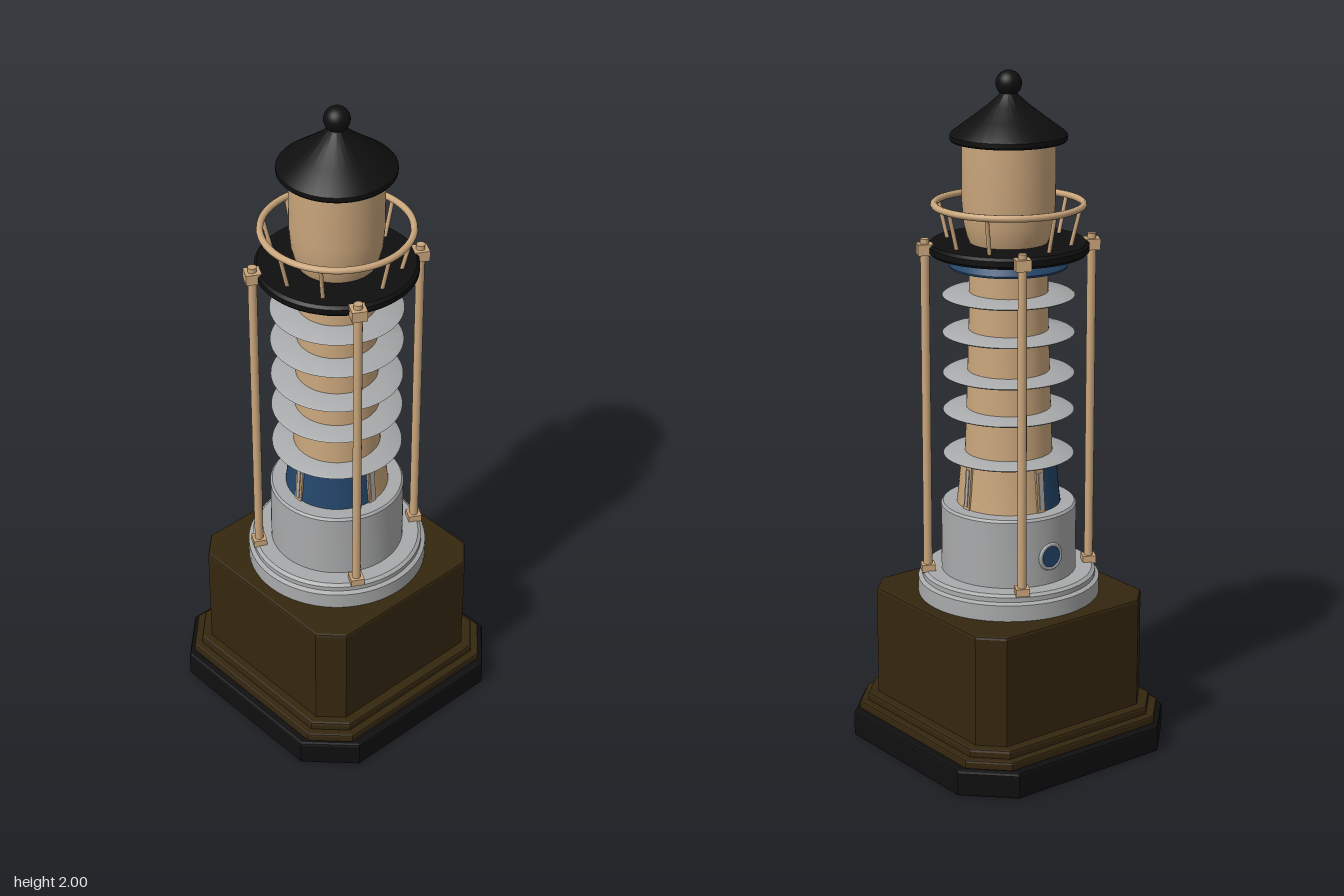
import * as THREE from 'three';
import { toCreasedNormals } from 'three/addons/utils/BufferGeometryUtils.js';

const paint = (name, color) => {
  const m = new THREE.MeshStandardMaterial({ color });
  m.name = name;
  return m;
};

export function createModel() {
  const model = new THREE.Group();
  model.name = 'lighthouse';
  const tan = paint('tan', 0xcaa67c);
  const silver = paint('silver', 0xa9aaab);
  const brown = paint('dark brown', 0x35270f);
  const black = paint('black', 0x0f0f0f);
  const blue = paint('blue', 0x24466b);

  const add = (name, geometry, material, parent = model) => {
    const mesh = new THREE.Mesh(geometry, material);
    mesh.name = name;
    parent.add(mesh);
    return mesh;
  };

  // Turned part from [radius, height] pairs, listed bottom to top
  const turned = (name, profile, material, start = 0, sweep = Math.PI * 2) => {
    const points = profile.map(([r, y]) => new THREE.Vector2(r, y));
    const segments = Math.max(12, Math.round(64 * sweep / (Math.PI * 2)));
    const lathe = new THREE.LatheGeometry(points, segments, start, sweep);
    return add(name, toCreasedNormals(lathe, 0.5), material);
  };

  // Square slab with cut corners: half width, flat half length, bottom, top, bevel
  const slab = (name, half, flat, y0, y1, bevel, material) => {
    const a = half - bevel, b = flat - bevel * 0.41;
    const shape = new THREE.Shape([
      [a, -b], [a, b], [b, a], [-b, a], [-a, b], [-a, -b], [-b, -a], [b, -a],
    ].map(([x, y]) => new THREE.Vector2(x, y)));
    const geometry = new THREE.ExtrudeGeometry(shape, {
      depth: y1 - y0 - 2 * bevel, bevelEnabled: true,
      bevelSize: bevel, bevelThickness: bevel, bevelSegments: 2,
    });
    geometry.rotateX(-Math.PI / 2).translate(0, y0 + bevel, 0);
    return add(name, geometry, material);
  };

  // Round bar between two points
  const bar = (name, from, to, radius, material) => {
    const dir = to.clone().sub(from);
    const mesh = add(name, new THREE.CylinderGeometry(radius, radius, dir.length(), 12), material);
    mesh.position.copy(from).add(to).multiplyScalar(0.5);
    mesh.quaternion.setFromUnitVectors(new THREE.Vector3(0, 1, 0), dir.normalize());
    return mesh;
  };
  const polar = (r, angle, y) => new THREE.Vector3(r * Math.cos(angle), y, r * Math.sin(angle));

  // Stepped base
  slab('foot', 0.385, 0.26, 0, 0.08, 0.008, black);
  slab('lowerStep', 0.36, 0.265, 0.078, 0.105, 0.006, brown);
  slab('upperStep', 0.337, 0.255, 0.1, 0.13, 0.008, brown);
  slab('pedestal', 0.307, 0.243, 0.12, 0.462, 0.008, brown);

  // Round plinth and drum
  turned('plinth', [[0, 0.455], [0.267, 0.455], [0.267, 0.51], [0.255, 0.516], [0.255, 0.53],
    [0.245, 0.537], [0, 0.537]], silver);
  turned('drum', [[0.198, 0.53], [0.198, 0.735], [0.192, 0.742], [0, 0.742]], silver);

  // Port on the drum's right side
  const port = new THREE.Group();
  port.name = 'port';
  port.position.set(-0.197, 0.62, 0);
  port.rotation.y = -Math.PI / 2;
  model.add(port);
  add('portRim', new THREE.TorusGeometry(0.036, 0.006, 8, 32), silver, port);
  add('portGlass', new THREE.CylinderGeometry(0.033, 0.033, 0.008, 32).rotateX(Math.PI / 2), blue, port);

  // Flared foot of the tower: blue front, tan back
  const flare = [[0.152, 0.74], [0.146, 0.79], [0.138, 0.89]];
  turned('flareFront', flare, blue, -Math.PI / 2, Math.PI);
  turned('flareBack', flare, tan, Math.PI / 2, Math.PI);
  for (let i = 0; i < 4; i++) {
    const rib = new THREE.Group();
    rib.name = 'flareRib';
    rib.rotation.y = i * Math.PI / 2;
    model.add(rib);
    const post = add('ribPost', new THREE.BoxGeometry(0.026, 0.14, 0.012), tan, rib);
    const strip = add('ribStrip', new THREE.BoxGeometry(0.012, 0.11, 0.008), silver, rib);
    post.position.set(0, 0.81, 0.144);
    strip.position.set(0, 0.805, 0.149);
    post.rotation.x = strip.rotation.x = -0.08;
  }

  // Tower shaft with thin shade discs
  turned('shaft', [[0.128, 0.88], [0.12, 1.1], [0.114, 1.3], [0.112, 1.49]], tan);
  for (const y of [0.888, 1.02, 1.13, 1.25, 1.36]) {
    turned('shadeDisc', [[0.1, y - 0.004], [0.184, y - 0.004], [0.19, y], [0.184, y + 0.004],
      [0.1, y + 0.012]], silver);
  }
  turned('collar', [[0.1, 1.443], [0.168, 1.443], [0.17, 1.449], [0.15, 1.478], [0.1, 1.482]], blue);

  // Gallery deck, railing and lantern room
  turned('gallery', [[0, 1.482], [0.222, 1.482], [0.23, 1.49], [0.23, 1.506], [0.222, 1.514],
    [0, 1.514]], black);
  add('railing', new THREE.TorusGeometry(0.212, 0.01, 10, 64).rotateX(Math.PI / 2), tan)
    .position.y = 1.622;
  for (let i = 0; i < 4; i++) {
    for (const offset of [0, 0.95]) {
      const angle = i * Math.PI / 2 + offset;
      bar('railPost', polar(0.182, angle, 1.508), polar(0.21, angle, 1.622), 0.006, tan);
    }
  }
  turned('lanternRoom', [[0.11, 1.51], [0.118, 1.53], [0.128, 1.57], [0.133, 1.63], [0.133, 1.81]], tan);

  // Four tie rods with square blocks at both ends
  for (let i = 0; i < 4; i++) {
    const angle = 0.5 + i * Math.PI / 2;
    bar('tieRod', polar(0.24, angle, 0.53), polar(0.24, angle, 1.53), 0.013, tan);
    for (const [y, size] of [[0.545, 0.04], [1.5, 0.044]]) {
      const block = add('rodBlock', new THREE.BoxGeometry(size, y > 1 ? 0.032 : 0.022, size), tan);
      block.position.copy(polar(0.24, angle, y));
      block.rotation.y = -angle;
    }
  }

  // Roof and ball finial
  turned('roof', [[0, 1.802], [0.162, 1.802], [0.166, 1.807], [0.166, 1.82], [0.16, 1.827],
    [0.11, 1.864], [0.06, 1.902], [0.028, 1.93], [0.02, 1.945]], black);
  add('finial', new THREE.SphereGeometry(0.037, 28, 18), black).position.y = 1.963;

  return model;
}
